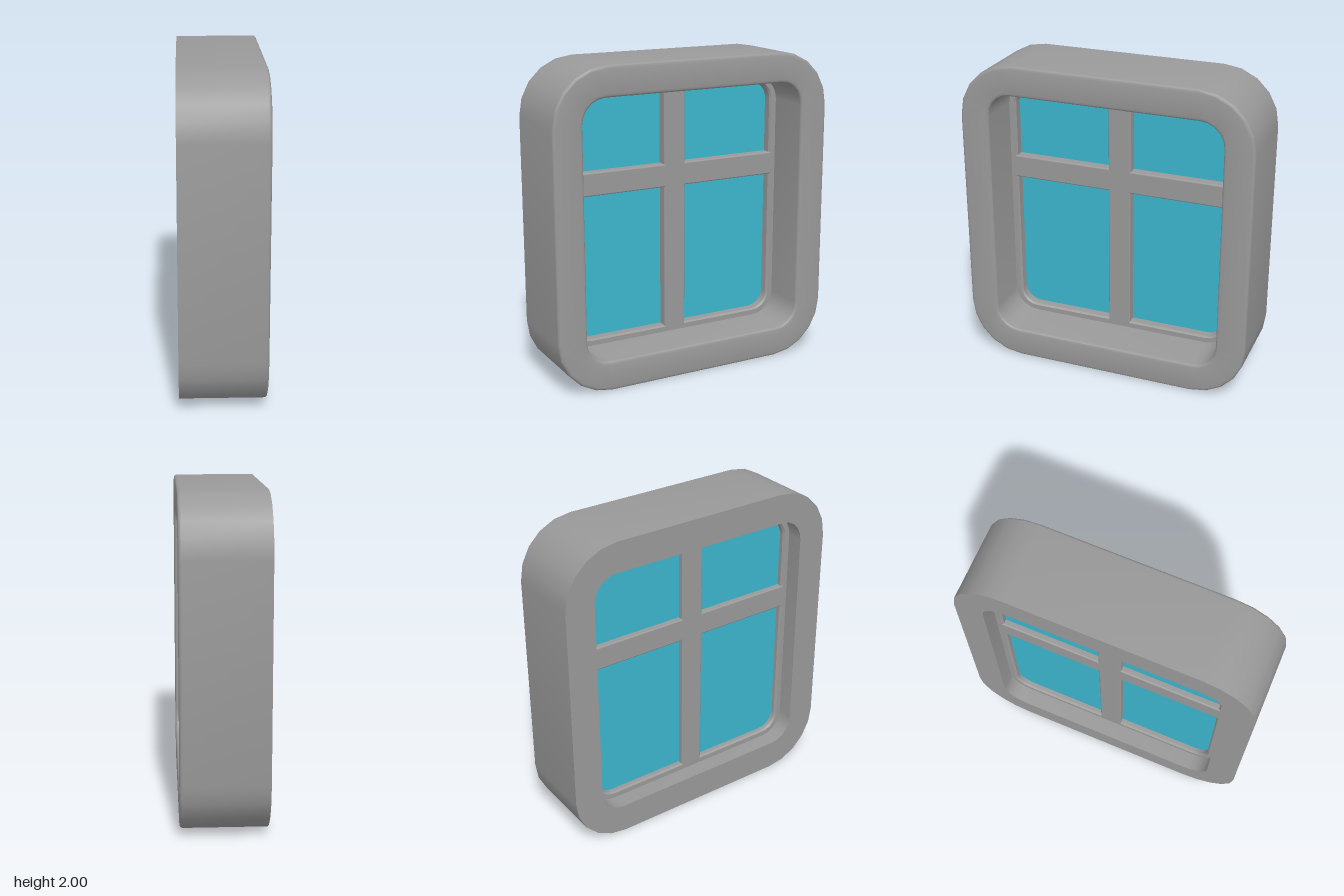
import * as THREE from 'three';
import { toCreasedNormals } from 'three/addons/utils/BufferGeometryUtils.js';
import { RoundedBoxGeometry } from 'three/addons/geometries/RoundedBoxGeometry.js';

const SEGMENTS = 5; // facets per rounded corner

// Rounded rectangle in the z-y plane at depth x
function roundedLoop([x, halfZ, halfY, radius]) {
  const points = [];
  for (let corner = 0; corner < 4; corner++) {
    const signZ = corner === 0 || corner === 3 ? 1 : -1;
    const signY = corner < 2 ? 1 : -1;
    for (let j = 0; j <= SEGMENTS; j++) {
      const a = (corner + j / SEGMENTS) * Math.PI / 2;
      points.push([
        x,
        signY * (halfY - radius) + radius * Math.sin(a),
        signZ * (halfZ - radius) + radius * Math.cos(a),
      ]);
    }
  }
  return points;
}

// Closed ring through a cycle of rounded rectangles
function ringGeometry(profile) {
  const loops = profile.map(roundedLoop);
  const count = loops[0].length;
  const index = [];
  for (let i = 0; i < loops.length; i++) {
    const next = (i + 1) % loops.length;
    for (let k = 0; k < count; k++) {
      const k2 = (k + 1) % count;
      const a = i * count + k, b = next * count + k;
      const c = next * count + k2, d = i * count + k2;
      index.push(a, b, c, a, c, d);
    }
  }
  const geometry = new THREE.BufferGeometry();
  geometry.setAttribute('position', new THREE.Float32BufferAttribute(loops.flat(2), 3));
  geometry.setIndex(index);
  return toCreasedNormals(geometry, 0.42);
}

// Quarter-round edge between the side wall and the +x face; side is 1 outside, -1 inside
function roundedEdge(x, halfZ, halfY, radius, size, side) {
  const steps = [];
  for (let i = 0; i <= 4; i++) {
    const a = i / 4 * Math.PI / 2;
    const inset = side * size * (1 - Math.cos(a));
    steps.push([x - size + size * Math.sin(a), halfZ - inset, halfY - inset, radius - inset]);
  }
  return side > 0 ? steps : steps.reverse();
}

export function createModel() {
  const model = new THREE.Group();
  model.name = 'window';

  const grey = new THREE.MeshStandardMaterial({ color: 0x999999 });
  grey.name = 'grey frame';
  const blue = new THREE.MeshStandardMaterial({ color: 0x3cb5cd });
  blue.name = 'blue glass';

  function add(name, geometry, material, x = 0, y = 1, z = 0) {
    const mesh = new THREE.Mesh(geometry, material);
    mesh.name = name;
    mesh.position.set(x, y, z);
    model.add(mesh);
  }

  // Deep surround, rounded on the +x edges and sharp at the back
  add('outerFrame', ringGeometry([
    [-0.262, 0.938, 1, 0.35],
    ...roundedEdge(0.26, 0.938, 1, 0.35, 0.02, 1),
    ...roundedEdge(0.26, 0.75, 0.81, 0.15, 0.02, -1),
    [-0.262, 0.75, 0.81, 0.15],
  ]), grey);

  // Slim sash set into the opening, chamfered toward the glass
  const front = -0.035, back = -0.155;
  add('sash', ringGeometry([
    [back, 0.765, 0.825, 0.16],
    [front, 0.765, 0.825, 0.16],
    [front, 0.718, 0.778, 0.118],
    [front - 0.012, 0.706, 0.768, 0.107],
    [back + 0.012, 0.706, 0.768, 0.107],
    [back, 0.718, 0.778, 0.118],
  ]), grey);

  // Crossing glazing bars
  const middle = (front + back) / 2;
  add('verticalBar', new RoundedBoxGeometry(0.121, 1.6, 0.148, 2, 0.01), grey, middle);
  add('horizontalBar', new RoundedBoxGeometry(0.121, 0.148, 1.48, 2, 0.01), grey, middle, 1.233);

  // Glass pane behind the bars
  add('glass', new THREE.BoxGeometry(0.02, 1.57, 1.44), blue, -0.107);

  return model;
}
